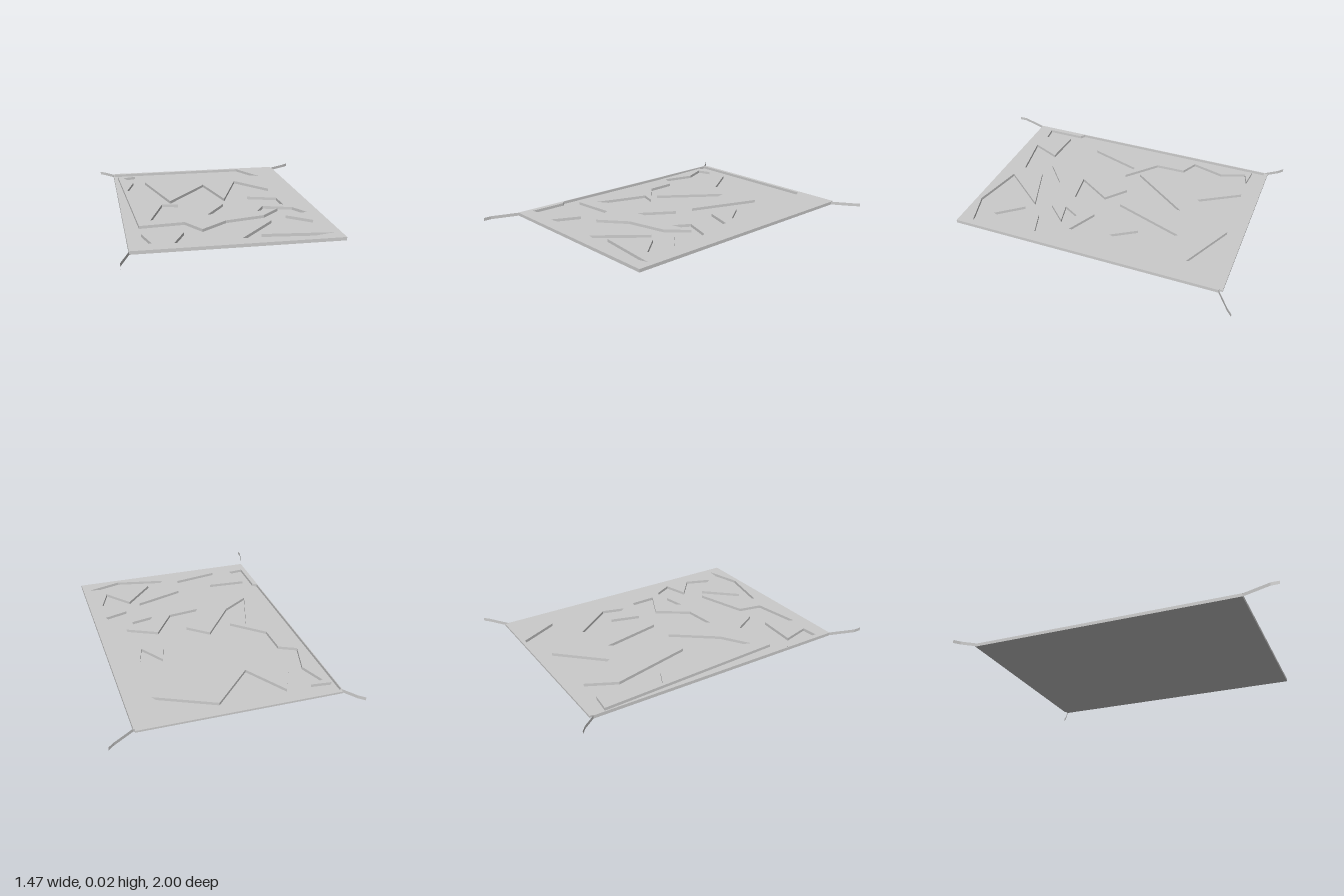
import * as THREE from 'three';

const HEIGHT = 0.02, FLOOR = 0.002;
const LEFT = -0.642, RIGHT = 0.58, BACK = -0.892, FRONT = 0.785;

// Outline of the sunken area, as [x, z]
const RECESS = [
  [-0.637, -0.888], [0.3, -0.888], [0.42, -0.65], [0.07, -0.81], [-0.18, -0.55], [-0.34, -0.8],
  [-0.43, -0.62], [-0.31, -0.11], [-0.03, -0.48], [0.05, -0.1], [0.21, -0.54], [0.4, -0.29],
  [0.36, -0.15], [0.26, -0.3], [0.21, -0.12], [0.395, -0.06], [0.4, 0.1], [0.21, 0.01],
  [0.08, 0.2], [-0.12, 0.225], [0.02, 0.015], [-0.11, -0.09], [-0.31, 0.17], [-0.48, 0.28],
  [-0.37, -0.05], [-0.27, -0.02], [-0.46, -0.185], [-0.465, -0.37], [-0.57, -0.42], [-0.515, -0.62],
  [-0.575, -0.77], [-0.49, -0.798], [-0.613, -0.81], [-0.555, 0.37], [-0.28, 0.345], [-0.195, 0.495],
  [-0.03, 0.36], [0.22, 0.3], [0.34, 0.18], [0.2, 0.21], [0.26, 0.11], [0.44, 0.17],
  [0.5, 0.285], [0.35, 0.33], [0.49, 0.45], [0.43, 0.605], [0.3, 0.45], [0.12, 0.645],
  [0.54, 0.692], [0.32, 0.755], [0, 0.69], [0.24, 0.41], [-0.07, 0.51], [-0.1, 0.655],
  [-0.39, 0.705], [-0.31, 0.53], [-0.555, 0.515], [-0.51, 0.685], [-0.61, 0.695], [-0.61, 0.46],
  [-0.637, 0.44],
];

// Corner cords, from the slab outwards
const CORDS = {
  backRightCord: [[-0.64, -0.89], [-0.7, -0.97], [-0.735, -1]],
  backLeftCord: [[0.58, -0.89], [0.7, -0.97], [0.735, -1]],
  frontRightCord: [[-0.64, 0.785], [-0.697, 0.95], [-0.697, 1]],
};

const toPlan = (points) => points.map(([x, z]) => new THREE.Vector2(x, -z));

export function createModel() {
  const group = new THREE.Group();
  const material = new THREE.MeshStandardMaterial({ color: 0xcccccc });
  const thin = new THREE.MeshStandardMaterial({ color: 0xcccccc, side: THREE.DoubleSide });

  const add = (name, geometry, mat = material) => {
    const mesh = new THREE.Mesh(geometry, mat);
    mesh.name = name;
    group.add(mesh);
    return mesh;
  };

  // Thin base forming the underside and the floor of the recess
  add('base', new THREE.BoxGeometry(RIGHT - LEFT, FLOOR, FRONT - BACK))
    .position.set((LEFT + RIGHT) / 2, FLOOR / 2, (BACK + FRONT) / 2);

  // Raised layer with the zigzag recess cut out
  const outline = new THREE.Shape(toPlan([[LEFT, FRONT], [RIGHT, FRONT], [RIGHT, BACK], [LEFT, BACK]]));
  outline.holes.push(new THREE.Path(toPlan(RECESS)));
  const layer = new THREE.ExtrudeGeometry(outline, { depth: HEIGHT - FLOOR, bevelEnabled: false });
  layer.rotateX(-Math.PI / 2).translate(0, FLOOR, 0);
  add('raisedLayer', layer);

  // Narrow lip along the back edge
  add('backLip', new THREE.BoxGeometry(1.21, 0.012, 0.02))
    .position.set(-0.03, HEIGHT - 0.006, BACK - 0.01);

  // Upright flat cords at three corners
  for (const [name, path] of Object.entries(CORDS)) {
    const positions = [];
    for (let i = 0; i < path.length - 1; i++) {
      const [[ax, az], [bx, bz]] = [path[i], path[i + 1]];
      positions.push(ax, 0, az, bx, 0, bz, bx, HEIGHT, bz);
      positions.push(ax, 0, az, bx, HEIGHT, bz, ax, HEIGHT, az);
    }
    const cord = new THREE.BufferGeometry();
    cord.setAttribute('position', new THREE.Float32BufferAttribute(positions, 3));
    cord.computeVertexNormals();
    add(name, cord, thin);
  }
  return group;
}
